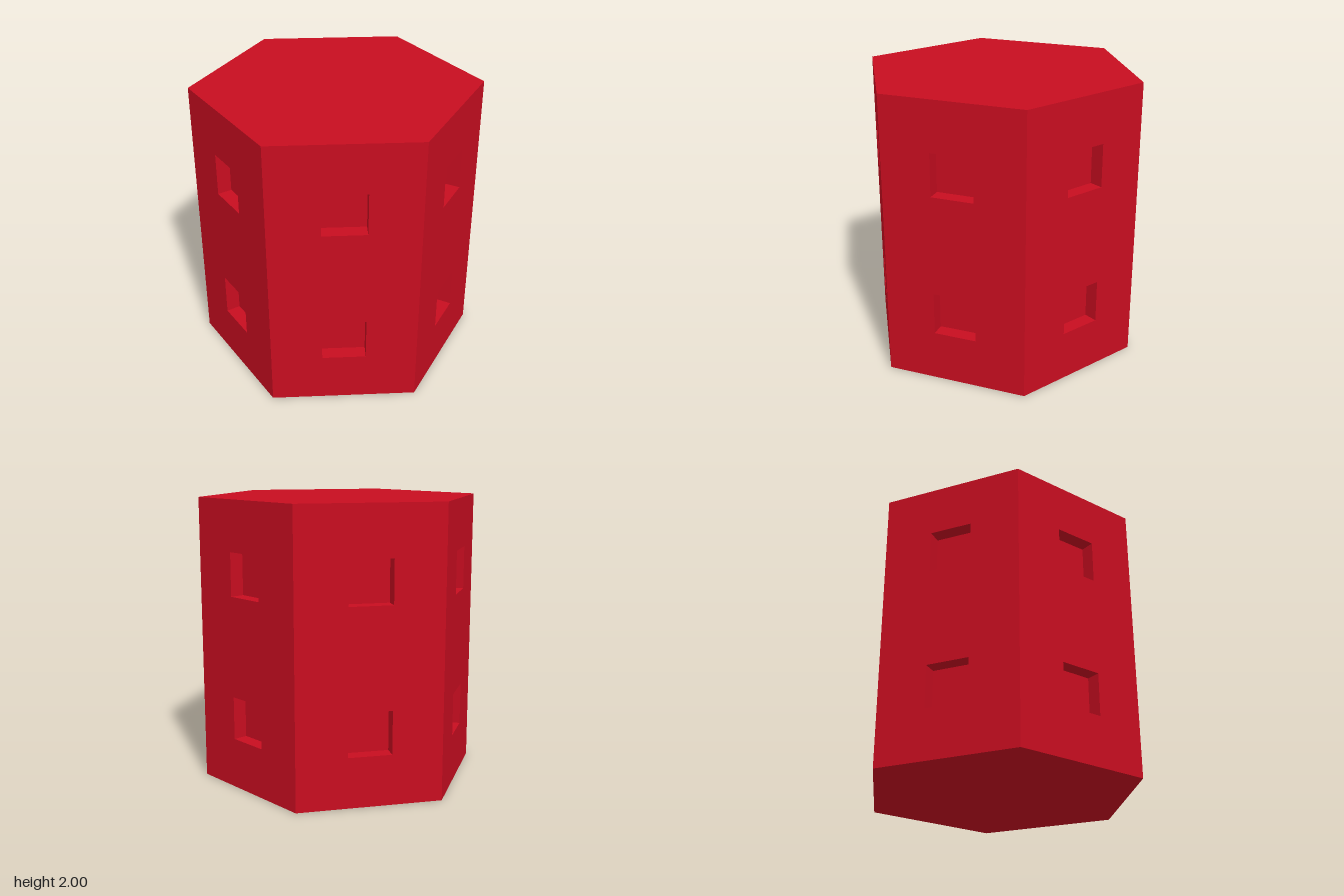
import * as THREE from 'three';

const RADIUS = 1, HEIGHT = 2, SIDES = 6;
const APOTHEM = RADIUS * Math.cos(Math.PI / SIDES);
const WIDTH = 2 * RADIUS * Math.sin(Math.PI / SIDES);
const WINDOW = 0.3, DEPTH = 0.1, WINDOW_HEIGHTS = [0.5, 1.5];

// Flat wall with two square window openings, standing on y = 0
function wallGeometry() {
  const w = WIDTH / 2, h = WINDOW / 2;
  const rect = (path, x0, y0, x1, y1) =>
    path.moveTo(x0, y0).lineTo(x1, y0).lineTo(x1, y1).lineTo(x0, y1).closePath();
  const shape = rect(new THREE.Shape(), -w, 0, w, HEIGHT);
  for (const y of WINDOW_HEIGHTS) {
    shape.holes.push(rect(new THREE.Path(), -h, y - h, h, y + h));
  }
  return new THREE.ShapeGeometry(shape);
}

// Inward-facing box without its front face
function recessGeometry() {
  const box = new THREE.BoxGeometry(WINDOW, WINDOW, DEPTH);
  const index = Array.from(box.index.array);
  index.splice(24, 6);
  box.setIndex(index.reverse());
  box.clearGroups();
  box.computeVertexNormals();
  return box;
}

export function createModel() {
  const model = new THREE.Group();
  model.name = 'hexagonalTower';
  const material = new THREE.MeshStandardMaterial({ color: 0xc80d20, flatShading: true });
  const add = (parent, name, geometry) => {
    const mesh = new THREE.Mesh(geometry, material);
    mesh.name = name;
    parent.add(mesh);
    return mesh;
  };

  // Six sides, each with two recessed windows
  const wall = wallGeometry(), recess = recessGeometry();
  for (let i = 0; i < SIDES; i++) {
    const side = new THREE.Group();
    side.name = 'side';
    side.rotation.y = ((i + 0.5) * 2 * Math.PI) / SIDES;
    add(side, 'wall', wall).position.z = APOTHEM;
    for (const y of WINDOW_HEIGHTS) {
      add(side, 'windowRecess', recess).position.set(0, y, APOTHEM - DEPTH / 2);
    }
    model.add(side);
  }

  // Flat roof and base, corners pointing to the front and back
  const cap = new THREE.CircleGeometry(RADIUS, SIDES, Math.PI / 2);
  const roof = add(model, 'roof', cap);
  roof.rotation.x = -Math.PI / 2;
  roof.position.y = HEIGHT;
  add(model, 'base', cap).rotation.x = Math.PI / 2;

  return model;
}
